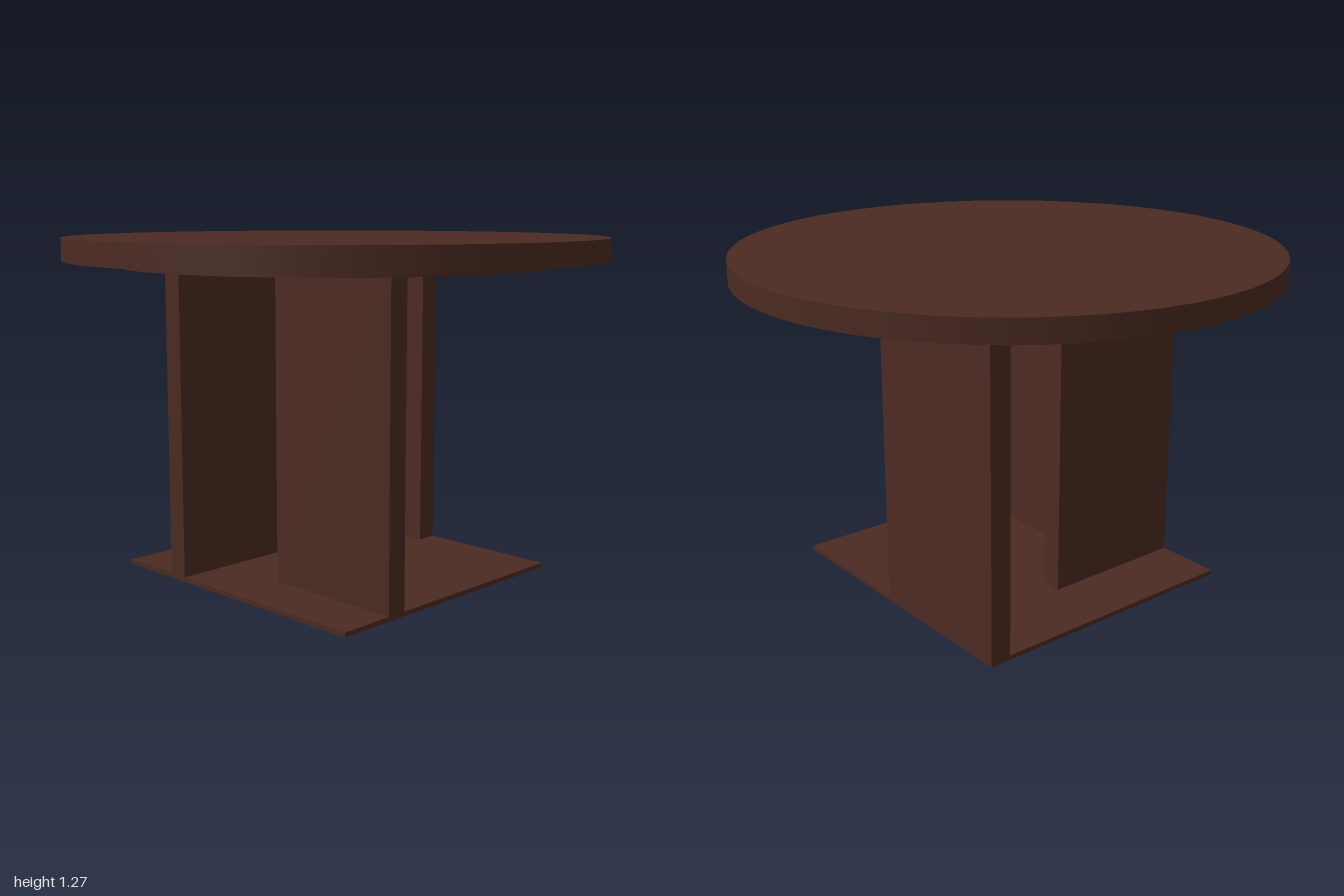
import * as THREE from 'three';

export function createModel() {
  const model = new THREE.Group();
  model.name = 'roundTable';

  const darkWood = new THREE.MeshStandardMaterial({ color: 0x4c2b22 });
  darkWood.name = 'darkWood';

  const add = (name, geometry, x, y, z) => {
    const mesh = new THREE.Mesh(geometry, darkWood);
    mesh.name = name;
    mesh.position.set(x, y, z);
    model.add(mesh);
  };

  // Box given by its limits on each axis
  const slab = (name, [x0, x1], [y0, y1], [z0, z1]) =>
    add(name, new THREE.BoxGeometry(x1 - x0, y1 - y0, z1 - z0),
      (x0 + x1) / 2, (y0 + y1) / 2, (z0 + z1) / 2);

  // Upright disc given by its radius and height limits
  const disc = (name, radius, y0, y1) =>
    add(name, new THREE.CylinderGeometry(radius, radius, y1 - y0, 64), 0, (y0 + y1) / 2, 0);

  // Top and the smaller disc beneath it
  disc('tableTop', 1, 1.185, 1.267);
  disc('topSupport', 0.8, 1.16, 1.185);

  // Thin floor plate
  const plateTop = 0.017;
  slab('basePlate', [-0.545, 0.543], [0, plateTop], [-0.582, 0.582]);

  // Three upright panels, set asymmetrically
  const upright = [plateTop, 1.16];
  slab('frontPanel', [-0.335, -0.257], upright, [0.03, 0.582]);
  slab('sidePanel', [0.463, 0.543], upright, [-0.582, 0.03]);
  slab('backPanel', [-0.545, 0.025], upright, [-0.328, -0.25]);

  return model;
}
